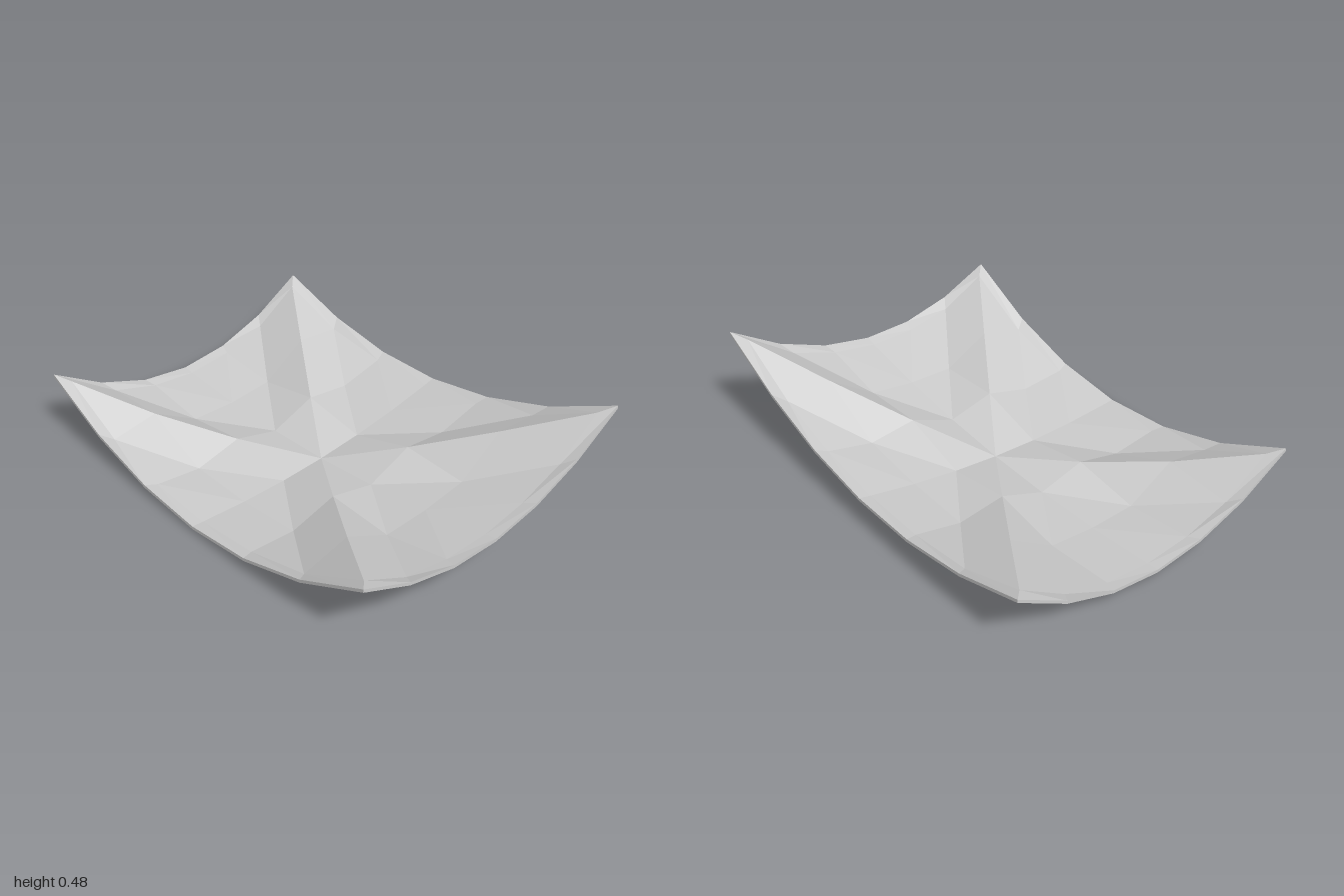
import * as THREE from 'three';

const HALF_X = 1, HALF_Z = 0.715, INNER_X = 0.945, INNER_Z = 0.66, THICK = 0.015, N = 3;
const RIDGE = [0, 0.065, 0.097, 0.032]; // ridge height from the centre to the corner

// Smooth sagging sheet, u and v run from -1 to 1
function sag(u, v) {
  return 0.032 + 0.065 * u - 0.0575 * v + 0.088 * u * u + 0.0605 * v * v - 0.0275 * u * v
    - 0.0125 * u * v * v + 0.025 * v * u * u + 0.187 * u * u * v * v;
}

// Grid point of the folded inner sheet; both diagonals stand up as ridges
function innerPoint(i, j) {
  const x = i / N * INNER_X, z = j / N * INNER_Z;
  const ridge = Math.abs(i) === Math.abs(j) ? RIDGE[Math.abs(i)] : 0;
  return [x, sag(x / HALF_X, z / HALF_Z) + ridge, z];
}

// Point of the outer rim, which has no ridges
function rimPoint(i, j) {
  return [i / N * HALF_X, sag(i / N, j / N), j / N * HALF_Z];
}

const lower = (p) => [p[0], p[1] - THICK, p[2]];

function makeMesh(positions, material, name) {
  const geometry = new THREE.BufferGeometry();
  geometry.setAttribute('position', new THREE.Float32BufferAttribute(positions, 3));
  geometry.computeVertexNormals();
  const mesh = new THREE.Mesh(geometry, material);
  mesh.name = name;
  return mesh;
}

export function createModel() {
  const grey = new THREE.MeshStandardMaterial({ color: 0xcccccc });
  grey.name = 'light grey';
  const top = [], bottom = [], edge = [];

  // Adds a triangle facing up and its copy facing down
  function sheet(a, b, c) {
    const up = (b[2] - a[2]) * (c[0] - a[0]) - (b[0] - a[0]) * (c[2] - a[2]);
    if (up < 0) [b, c] = [c, b];
    top.push(...a, ...b, ...c);
    bottom.push(...lower(a), ...lower(c), ...lower(b));
  }

  // Folded sheet, every cell split parallel to the ridge of its quarter
  for (const sx of [-1, 1]) for (const sz of [-1, 1]) {
    for (let i = 0; i < N; i++) for (let j = 0; j < N; j++) {
      const p = (a, b) => innerPoint(sx * a, sz * b);
      sheet(p(i, j), p(i + 1, j), p(i + 1, j + 1));
      sheet(p(i, j), p(i + 1, j + 1), p(i, j + 1));
    }
  }

  // Narrow border and outer wall, walked around the four sides
  const loop = [];
  for (let k = -N; k < N; k++) loop.push([k, N]);
  for (let k = N; k > -N; k--) loop.push([N, k]);
  for (let k = N; k > -N; k--) loop.push([k, -N]);
  for (let k = -N; k < N; k++) loop.push([-N, k]);
  loop.forEach((s, n) => {
    const t = loop[(n + 1) % loop.length];
    const a = innerPoint(...s), b = innerPoint(...t), c = rimPoint(...t), d = rimPoint(...s);
    sheet(a, b, c);
    sheet(a, c, d);
    edge.push(...lower(d), ...lower(c), ...c, ...lower(d), ...c, ...d);
  });

  const model = new THREE.Group();
  model.name = 'foldedSheet';
  model.add(makeMesh(top, grey, 'upperSurface'));
  model.add(makeMesh(bottom, grey, 'underside'));
  model.add(makeMesh(edge, grey, 'outerEdge'));

  // Rest the lowest point on the ground
  const lowest = new THREE.Box3().setFromObject(model).min.y;
  model.children.forEach((mesh) => mesh.geometry.translate(0, -lowest, 0));
  return model;
}
